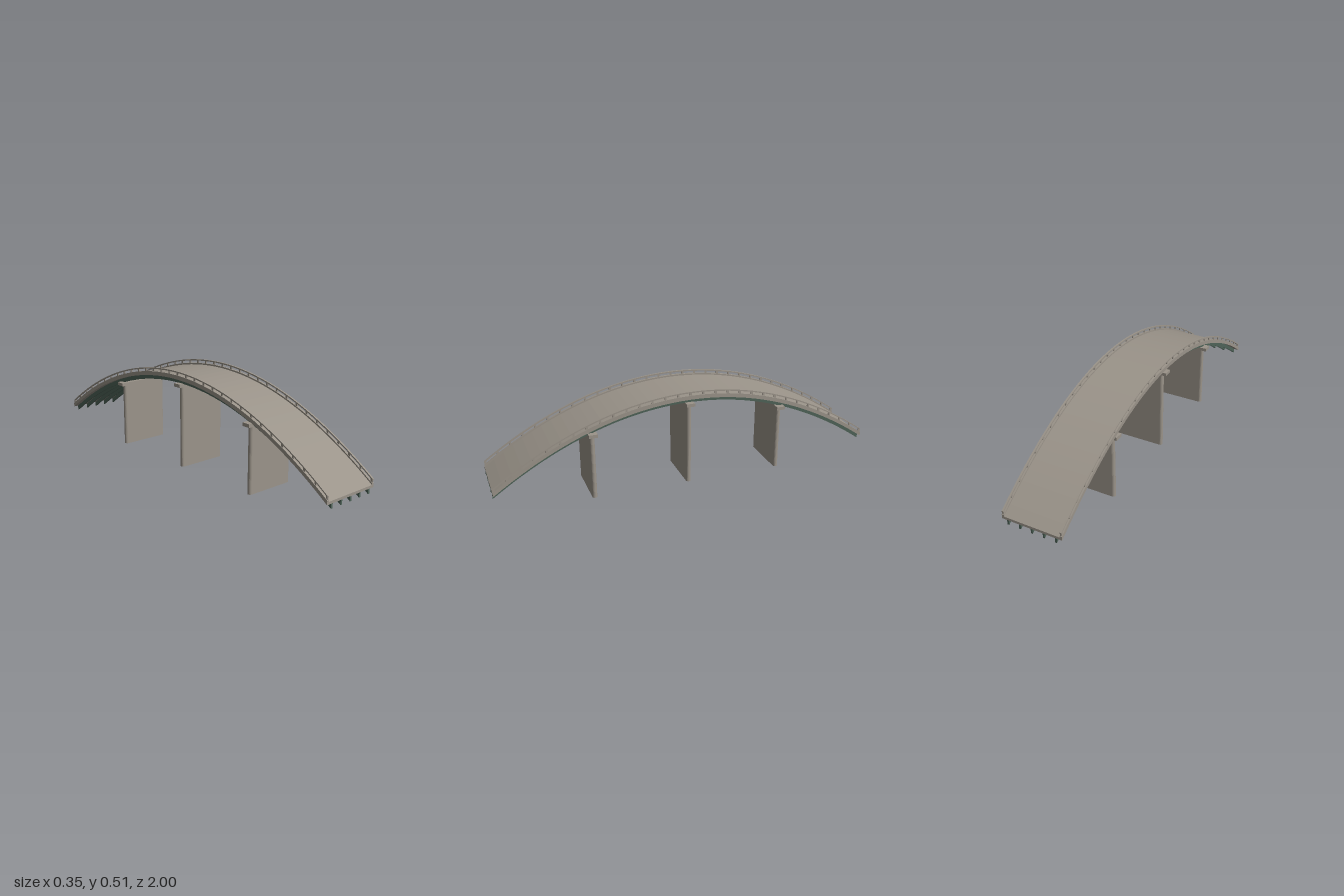
import * as THREE from 'three';

const HALF_LENGTH = 0.997, DECK_TOP = 0.482, DROP = 0.358;
const concrete = new THREE.MeshStandardMaterial({ color: 0x9b948a });
concrete.name = 'concrete';
const greenSteel = new THREE.MeshStandardMaterial({ color: 0x4f6358 });
greenSteel.name = 'green steel';

// Height of the road surface along the bridge
const deckY = z => DECK_TOP - DROP * z * z;

// Strip following the parabola between two vertical offsets, extruded across x
function archStrip(low, high, width, segments = 40) {
  const points = [];
  for (let i = 0; i <= segments; i++) {
    const z = HALF_LENGTH * (2 * i / segments - 1);
    points.push(new THREE.Vector2(z, deckY(z) + low));
  }
  for (let i = segments; i >= 0; i--) {
    const z = HALF_LENGTH * (2 * i / segments - 1);
    points.push(new THREE.Vector2(z, deckY(z) + high));
  }
  const geometry = new THREE.ExtrudeGeometry(new THREE.Shape(points), { depth: width, bevelEnabled: false });
  return geometry.translate(0, 0, -width / 2).rotateY(-Math.PI / 2);
}

// Wall pier with rounded ends
function pierWall(halfWidth, radius, height) {
  const shape = new THREE.Shape();
  const c = halfWidth - radius;
  shape.absarc(c, 0, radius, -Math.PI / 2, Math.PI / 2, false);
  shape.absarc(-c, 0, radius, Math.PI / 2, Math.PI * 1.5, false);
  shape.closePath();
  return new THREE.ExtrudeGeometry(shape, { depth: height, bevelEnabled: false, curveSegments: 8 })
    .rotateX(-Math.PI / 2);
}

export function createModel() {
  const bridge = new THREE.Group();
  bridge.name = 'archedBridge';

  function add(name, geometry, material, x = 0, y = 0, z = 0) {
    const mesh = new THREE.Mesh(geometry, material);
    mesh.name = name;
    mesh.position.set(x, y, z);
    bridge.add(mesh);
    return mesh;
  }

  // Road slab
  add('deck', archStrip(-0.013, 0, 0.315), concrete);

  // Five girders beneath the slab
  const girder = archStrip(-0.037, -0.013, 0.01);
  for (let i = -2; i <= 2; i++) add('girder', girder, greenSteel, i * 0.0627);

  // Curbs, posts and handrails on both sides
  const curb = archStrip(0, 0.008, 0.012);
  const rail = archStrip(0.021, 0.028, 0.009);
  const post = new THREE.BoxGeometry(0.006, 0.018, 0.01);
  for (const side of [-1, 1]) {
    const x = side * 0.1515;
    add('curb', curb, concrete, x);
    add('handrail', rail, concrete, x);
    for (let i = 0; i <= 30; i++) {
      const z = (HALF_LENGTH - 0.006) * (i / 15 - 1);
      add('railPost', post, concrete, x, deckY(z) + 0.015, z);
    }
  }

  // Three piers, each with a wider cap
  for (const z of [-0.5, 0, 0.5]) {
    const capTop = deckY(z) - 0.036;
    add('pier', pierWall(0.134, 0.0125, capTop - 0.016), concrete, 0, 0, z);
    add('pierCap', new THREE.BoxGeometry(0.314, 0.017, 0.044), concrete, 0, capTop - 0.0085, z);
  }

  // The span lies slightly askew
  bridge.rotation.y = 0.0175;
  const model = new THREE.Group();
  model.name = 'bridge';
  model.add(bridge);
  return model;
}
